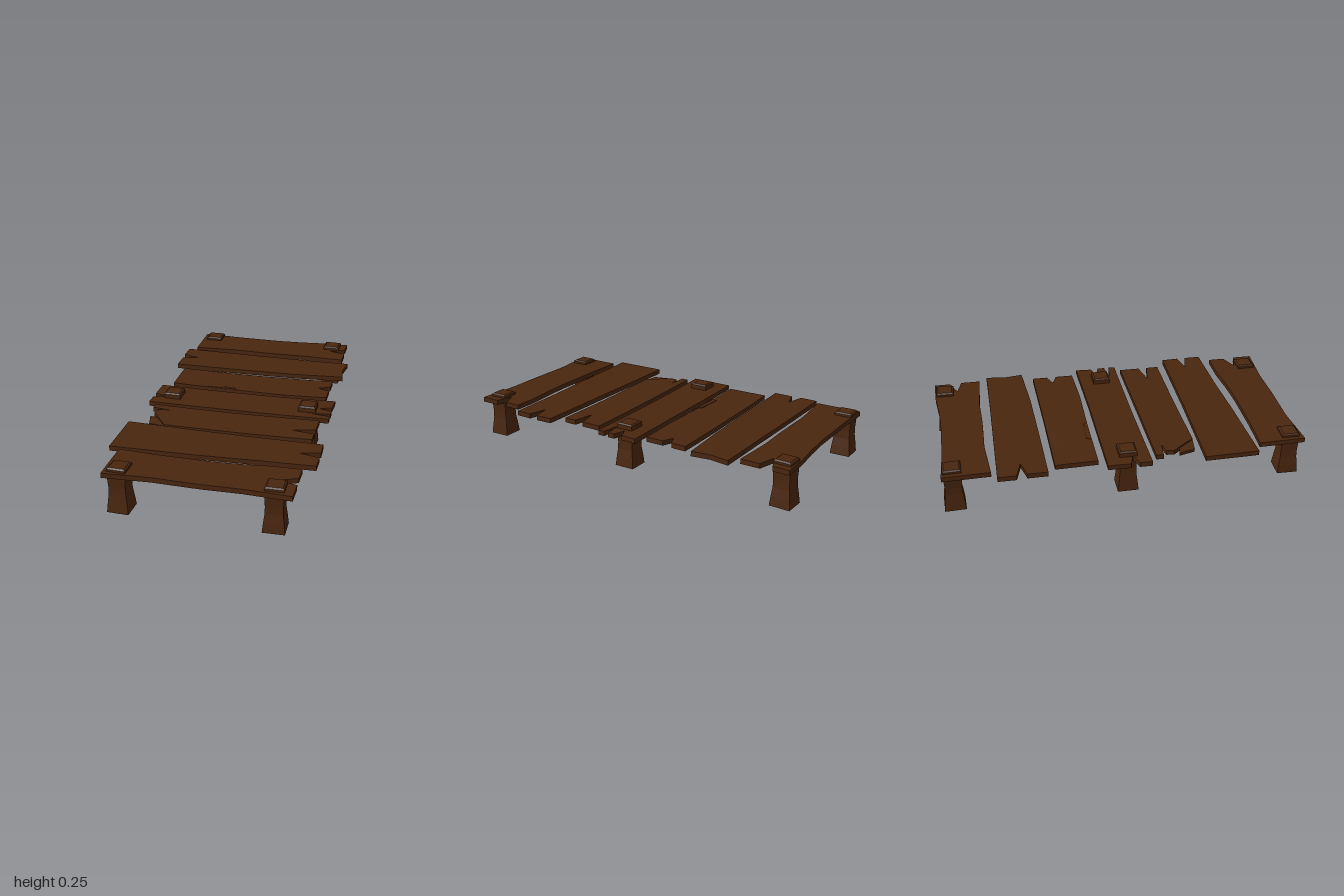
import * as THREE from 'three';

const wood = new THREE.MeshStandardMaterial({ color: 0x4a260f });
wood.name = 'dark brown wood';

// Plank outlines as [x, z] corners, clockwise seen from above
const endPlank = [[-0.505, -0.975], [-0.3, -0.968], [0, -0.97], [0.15, -0.98], [0.3, -0.997], [0.45, -1],
  [0.45, -0.91], [0.36, -0.868], [0.455, -0.843], [0.455, -0.735], [0.2, -0.745], [0, -0.738], [-0.25, -0.74], [-0.5, -0.718]];
const planks = [
  { name: 'backPlank', y: 0.205, sag: 0.003, outline: endPlank },
  { name: 'secondPlank', y: 0.2, sag: 0.002, outline: [[-0.545, -0.69], [0.2, -0.688], [0.5, -0.69], [0.485, -0.58],
    [0.5, -0.475], [0.2, -0.45], [-0.2, -0.435], [-0.54, -0.425], [-0.54, -0.535], [-0.44, -0.562], [-0.545, -0.59]] },
  { name: 'thirdPlank', y: 0.195, sag: 0.007, outline: [[-0.48, -0.385], [0, -0.395], [0.45, -0.41], [0.45, -0.325],
    [0.385, -0.295], [0.45, -0.27], [0.45, -0.17], [0.2, -0.155], [-0.1, -0.157], [-0.475, -0.153]] },
  { name: 'middlePlank', y: 0.193, sag: 0.004, outline: [[-0.53, -0.11], [0.1, -0.12], [0.51, -0.135], [0.505, -0.045],
    [0.44, -0.02], [0.51, 0], [0.51, 0.04], [0.39, 0.053], [0.51, 0.068], [0.51, 0.105], [0, 0.115],
    [-0.53, 0.13], [-0.53, 0.062], [-0.46, 0.035], [-0.53, 0.015]] },
  { name: 'fifthPlank', y: 0.195, sag: 0.006, outline: [[-0.48, 0.16], [0, 0.15], [0.465, 0.135], [0.465, 0.25],
    [0.34, 0.28], [0.465, 0.3], [0.465, 0.37], [0, 0.38], [-0.35, 0.39], [-0.42, 0.3], [-0.45, 0.265],
    [-0.445, 0.222], [-0.38, 0.208], [-0.48, 0.2]] },
  { name: 'sixthPlank', y: 0.2, sag: 0.002, outline: [[-0.545, 0.415], [0, 0.422], [0.535, 0.42], [0.54, 0.515],
    [0.435, 0.54], [0.54, 0.565], [0.54, 0.655], [0.2, 0.67], [-0.1, 0.69], [-0.54, 0.71]] },
  { name: 'frontPlank', y: 0.205, sag: 0.003, outline: endPlank.map(([x, z]) => [x + 0.03, z + 1.71]) },
];

// Extrudes an outline upwards, with long edges subdivided so the board can sag
function board(name, outline, y, thickness, sag) {
  const points = [];
  outline.forEach(([x, z], i) => {
    const [nx, nz] = outline[(i + 1) % outline.length];
    const steps = Math.max(1, Math.round(Math.hypot(nx - x, nz - z) / 0.14));
    for (let s = 0; s < steps; s++) {
      const t = s / steps;
      points.push(new THREE.Vector2(x + (nx - x) * t, -(z + (nz - z) * t)));
    }
  });
  const geometry = new THREE.ExtrudeGeometry(new THREE.Shape(points), { depth: thickness, bevelEnabled: false });
  geometry.rotateX(-Math.PI / 2);
  const pos = geometry.attributes.position;
  for (let i = 0; i < pos.count; i++) {
    pos.setY(i, y + pos.getY(i) - sag * Math.max(0, 1 - (pos.getX(i) / 0.5) ** 2));
  }
  geometry.computeVertexNormals();
  const mesh = new THREE.Mesh(geometry, wood);
  mesh.name = name;
  return mesh;
}

// Square post: wide foot, narrow waist, flared top with a small bevel
function post(name, x, z, turn) {
  const profile = [[0, 0], [0.057, 0], [0.052, 0.05], [0.046, 0.1], [0.045, 0.14], [0.049, 0.22], [0.049, 0.243], [0.04, 0.25], [0, 0.25]]
    .map(([r, y]) => new THREE.Vector2(r * Math.SQRT2, y));
  const geometry = new THREE.LatheGeometry(profile, 4, Math.PI / 4).toNonIndexed();
  geometry.computeVertexNormals();
  const mesh = new THREE.Mesh(geometry, wood);
  mesh.name = name;
  mesh.position.set(x, 0, z);
  mesh.rotation.y = turn;
  return mesh;
}

export function createModel() {
  const model = new THREE.Group();
  model.name = 'plankWalkway';

  for (const p of planks) model.add(board(p.name, p.outline, p.y, 0.027, p.sag));

  // Broken corner and loose splinter
  model.add(board('brokenCorner', [[-0.42, 0.3], [-0.35, 0.39], [-0.44, 0.38], [-0.465, 0.29]], 0.193, 0.018, 0));
  model.add(board('splinter', [[-0.25, -0.185], [-0.1, -0.178], [-0.09, -0.158], [-0.26, -0.158]], 0.21, 0.012, 0.002));

  // Posts in three pairs
  [['back', -0.43, -0.92, 0.36, -0.94], ['middle', -0.415, 0.01, 0.375, -0.005], ['front', -0.4, 0.92, 0.39, 0.905]]
    .forEach(([row, rx, rz, lx, lz], i) => {
      model.add(post(row + 'RightPost', rx, rz, 0.04 - i * 0.03));
      model.add(post(row + 'LeftPost', lx, lz, i * 0.03 - 0.02));
    });

  return model;
}
